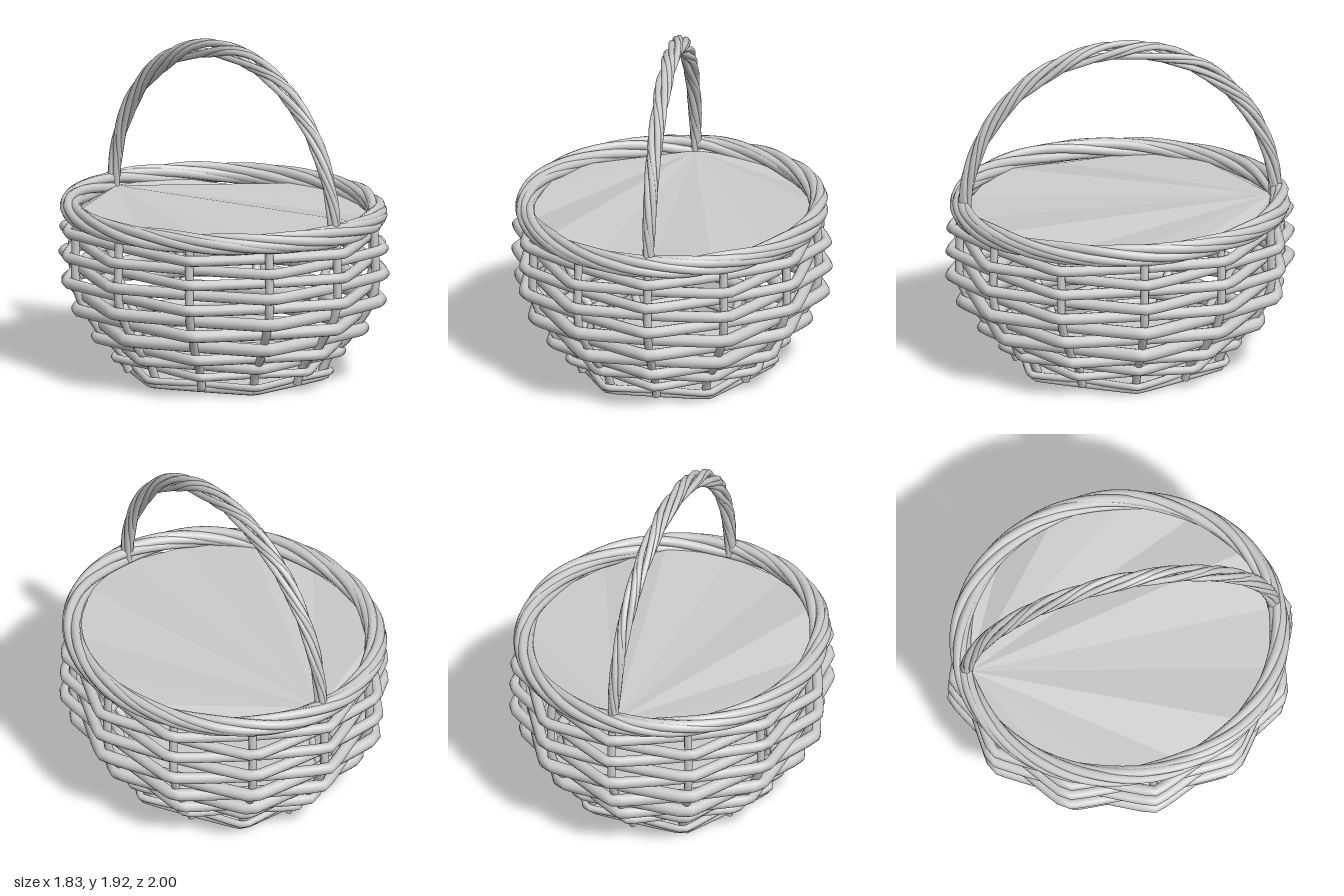
import * as THREE from 'three';

const mat = new THREE.MeshStandardMaterial({ color: 0xcccccc });
const matDouble = new THREE.MeshStandardMaterial({ color: 0xcccccc, side: THREE.DoubleSide });
const TAU = Math.PI * 2;
const STAKES = 12;
const LONG = 1.1; // the basket is longer in z than in x

// Stake radius (along x) by height
const PROFILE = [[0.03, 0.535], [0.11, 0.565], [0.17, 0.6], [0.235, 0.67], [0.32, 0.725], [0.405, 0.78],
  [0.48, 0.815], [0.565, 0.835], [0.71, 0.835], [0.85, 0.83], [0.95, 0.825]];

function radiusAt(y) {
  for (let i = 1; i < PROFILE.length; i++) {
    const [y0, r0] = PROFILE[i - 1], [y1, r1] = PROFILE[i];
    if (y <= y1) return r0 + (r1 - r0) * (y - y0) / (y1 - y0);
  }
  return PROFILE[PROFILE.length - 1][1];
}

// Point on the oval wall, offset outward by d
function onWall(angle, y, d = 0, r = radiusAt(y)) {
  return new THREE.Vector3((r + d) * Math.cos(angle), y, (r * LONG + d) * Math.sin(angle));
}

function cane(name, points, radius, segments, closed, sides = 8, tension = 0.5) {
  const curve = new THREE.CatmullRomCurve3(points, closed, 'catmullrom', tension);
  const mesh = new THREE.Mesh(new THREE.TubeGeometry(curve, segments, radius, sides, closed),
    closed ? mat : matDouble);
  mesh.name = name;
  return mesh;
}

function group(name, parts) {
  const g = new THREE.Group();
  g.name = name;
  g.add(...parts);
  return g;
}

// Upright stakes following the wall profile
function stakes() {
  const parts = [];
  for (let i = 0; i < STAKES; i++) {
    const a = i / STAKES * TAU;
    parts.push(cane('stake', PROFILE.map(([y]) => onWall(a, y)), 0.024, 24, false));
  }
  return group('stakes', parts);
}

// Horizontal rows, passing alternately outside and inside the stakes
function weave() {
  const rows = [[0.85, 0.031], [0.78, 0.031], [0.71, 0.031], [0.635, 0.033], [0.562, 0.033], [0.48, 0.037],
    [0.4, 0.036], [0.31, 0.038], [0.235, 0.032], [0.17, 0.029], [0.112, 0.024], [0.048, 0.02]];
  return group('weave', rows.map(([y, r], row) => {
    const points = [];
    for (let i = 0; i < STAKES; i++) {
      const outside = (i + row) % 2 === 1;
      points.push(onWall(i / STAKES * TAU, y, outside ? 0.05 : -0.045));
    }
    return cane('weaveRow', points, r, 96, true, 10, 0.12);
  }));
}

// Thick rim of loosely twisted strands around an oval
function rim() {
  const parts = [], strands = 6, turns = 3, steps = 48;
  for (let s = 0; s < strands; s++) {
    const points = [];
    for (let i = 0; i < steps; i++) {
      const a = i / steps * TAU;
      const t = a * turns + s / strands * TAU + 0.3 * Math.sin(a * 2 + s * 2);
      const loose = 1 + 0.12 * Math.sin(a * 5 + s * 1.7);
      points.push(onWall(a, 0.945 + 0.035 * loose * Math.sin(t), 0.031 * loose * Math.cos(t), 0.825));
    }
    parts.push(cane('rimStrand', points, 0.028, 144, true));
  }
  return group('rim', parts);
}

// Arched handle of loosely twisted strands, slimmer toward its feet
function handle() {
  const parts = [], strands = 6, turns = 3, steps = 48;
  for (let s = 0; s < strands; s++) {
    const points = [];
    for (let i = 0; i <= steps; i++) {
      const u = i / steps, a = u * Math.PI;
      const t = -u * turns * TAU + s / strands * TAU + 0.3 * Math.sin(a * 4 + s * 2);
      const w = 0.016 + 0.015 * Math.sin(a);
      const d = w * 1.2 * Math.cos(t);
      points.push(new THREE.Vector3(w * Math.sin(t),
        0.92 + (0.945 + d) * Math.pow(Math.sin(a), 0.98), (0.89 + d) * Math.cos(a)));
    }
    parts.push(cane('handleStrand', points, 0.0185, 110, false, 7));
  }
  return group('handle', parts);
}

// Uneven liner stretched inside the rim, fanned from the rear handle foot
function liner() {
  const n = 14, apex = [0, 0.93, -0.87], pos = [];
  const edge = i => {
    const p = onWall(-Math.PI / 2 + i / n * TAU, 0.91 + 0.03 * Math.sin(i * 2.3), 0, 0.81);
    return [p.x, p.y, p.z];
  };
  for (let i = 1; i < n - 1; i++) pos.push(...apex, ...edge(i + 1), ...edge(i));
  const geo = new THREE.BufferGeometry();
  geo.setAttribute('position', new THREE.Float32BufferAttribute(pos, 3));
  geo.computeVertexNormals();
  const mesh = new THREE.Mesh(geo, matDouble);
  mesh.name = 'liner';
  return mesh;
}

// Flat plate filling a loop of corners, with its top at the given height
function plate(name, corners, top) {
  const shape = new THREE.Shape(corners.map(c => new THREE.Vector2(c.x, c.z)));
  const geo = new THREE.ExtrudeGeometry(shape, { depth: 0.015, bevelEnabled: false });
  geo.rotateX(Math.PI / 2).translate(0, top, 0);
  const mesh = new THREE.Mesh(geo, mat);
  mesh.name = name;
  return mesh;
}

// Six-sided floor with a cane border, and an oval floor at the lowest row
function base() {
  const corners = [], oval = [];
  for (let i = 0; i < 6; i++) {
    const a = i / 6 * TAU;
    corners.push(new THREE.Vector3(0.57 * Math.cos(a), 0.022, 0.615 * Math.sin(a)));
  }
  for (let i = 0; i < STAKES; i++) oval.push(onWall(i / STAKES * TAU, 0.048, i % 2 ? -0.045 : 0.04));
  return group('base', [plate('floor', corners, 0.026), plate('innerFloor', oval, 0.055),
    cane('floorBorder', corners, 0.022, 72, true, 8, 0.06)]);
}

export function createModel() {
  return group('basket', [base(), stakes(), weave(), rim(), handle(), liner()]);
}
